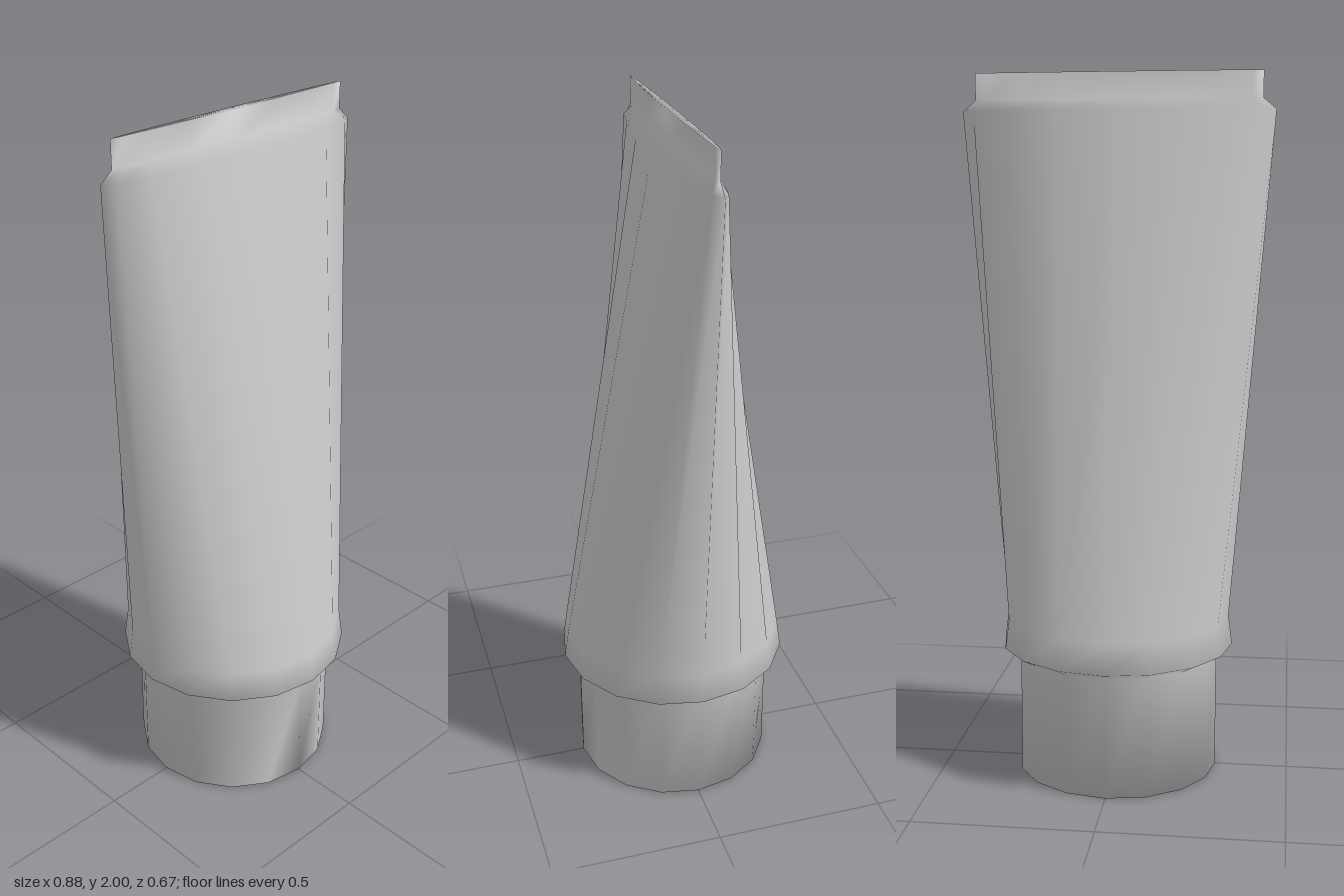
import * as THREE from 'three';

const SIDES = 16;

// Elliptical cross-sections from the foot of the cap to the sealed end: [y, half width, half depth]
const RINGS = [
  [0, 0.29, 0.29],
  [0.345, 0.29, 0.29],
  [0.37, 0.336, 0.336], // shoulder
  [0.455, 0.325, 0.323],
  [1.895, 0.44, 0.052], // flattened end
  [1.925, 0.404, 0.01], // crimped seal
  [2, 0.404, 0.01],
];
const CAP_RINGS = 1; // spans below the shoulder belong to the cap

// Quads between ring r and ring r + 1
function band(r) {
  const index = [];
  for (let k = 0; k < SIDES; k++) {
    const next = (k + 1) % SIDES;
    const a = r * SIDES + k, b = r * SIDES + next;
    index.push(a, b, b + SIDES, a, b + SIDES, a + SIDES);
  }
  return index;
}

// Flat fan closing ring r, facing up or down
function lid(r, up) {
  const index = [];
  const o = r * SIDES;
  for (let k = 1; k < SIDES - 1; k++) {
    index.push(o, ...(up ? [o + k, o + k + 1] : [o + k + 1, o + k]));
  }
  return index;
}

export function createModel() {
  const positions = [];
  for (const [y, rx, rz] of RINGS) {
    for (let k = 0; k < SIDES; k++) {
      const t = (k / SIDES) * Math.PI * 2;
      positions.push(rx * Math.sin(t), y, rz * Math.cos(t));
    }
  }

  const capIndex = lid(0, false);
  const bodyIndex = lid(RINGS.length - 1, true);
  for (let r = 0; r < RINGS.length - 1; r++) {
    (r < CAP_RINGS ? capIndex : bodyIndex).push(...band(r));
  }

  // Normals are computed over the whole skin so cap and body shade as one surface
  const skin = new THREE.BufferGeometry();
  skin.setAttribute('position', new THREE.Float32BufferAttribute(positions, 3));
  skin.setIndex([...capIndex, ...bodyIndex]);
  skin.computeVertexNormals();

  const material = new THREE.MeshStandardMaterial({ color: 0xcccccc });
  const model = new THREE.Group();
  model.name = 'squeezeTube';
  for (const [name, index] of [['cap', capIndex], ['tubeBody', bodyIndex]]) {
    const part = skin.clone();
    part.setIndex(index);
    const mesh = new THREE.Mesh(part, material);
    mesh.name = name;
    model.add(mesh);
  }
  return model;
}
